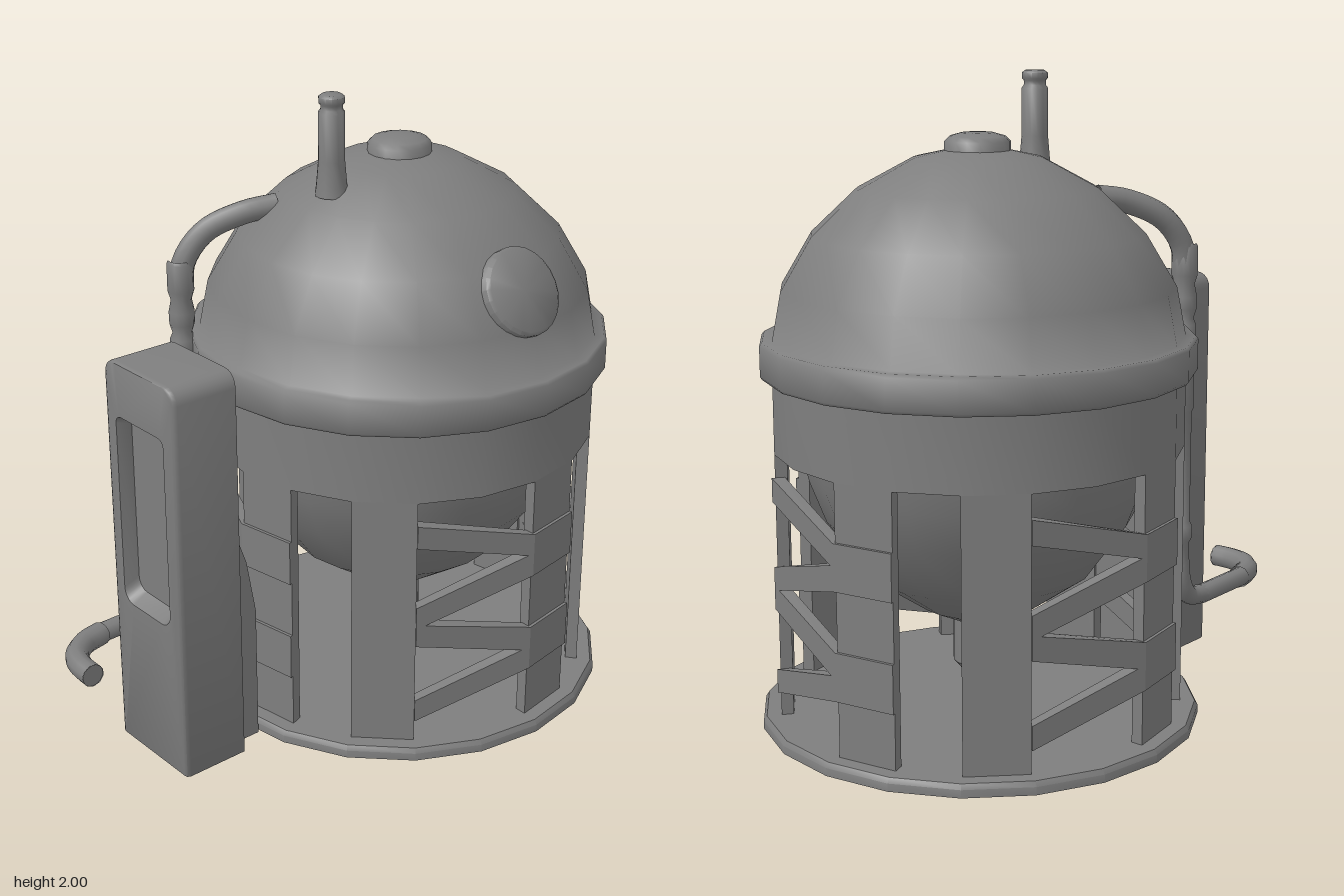
import * as THREE from 'three';
import { toCreasedNormals } from 'three/addons/utils/BufferGeometryUtils.js';

const material = new THREE.MeshStandardMaterial({ color: 0x7e7e7e });
const doubleSided = new THREE.MeshStandardMaterial({ color: 0x7e7e7e, side: THREE.DoubleSide });
const STEP = Math.PI / 10; // one side of the 20-sided tank

function part(parent, name, geometry, mat = material) {
  const mesh = new THREE.Mesh(geometry, mat);
  mesh.name = name;
  parent.add(mesh);
  return mesh;
}

// Turned shape; profile is [radius, y] pairs from bottom to top
function turned(profile, sides = 20, crease = 0.6) {
  const points = profile.map(([r, y]) => new THREE.Vector2(r, y));
  return toCreasedNormals(new THREE.LatheGeometry(points, sides), crease);
}

// Skin over matching rings of [x, y, z] points, with both ends closed
function loft(rings, crease) {
  const n = rings[0].length, positions = rings.flat(2), index = [];
  for (let i = 0; i < rings.length - 1; i++)
    for (let k = 0; k < n; k++) {
      const a = i * n + k, b = i * n + (k + 1) % n;
      index.push(a, b, b + n, a, b + n, a + n);
    }
  const last = (rings.length - 1) * n;
  for (let k = 1; k < n - 1; k++) index.push(0, k + 1, k, last, last + k, last + k + 1);
  const geometry = new THREE.BufferGeometry();
  geometry.setAttribute('position', new THREE.Float32BufferAttribute(positions, 3));
  geometry.setIndex(index);
  return toCreasedNormals(geometry, crease);
}

// Strip of wall between two side numbers; its [low, high] edges run from start to end
function wallStrip(from, to, start, end, steps = to - from, outer = 0.634, thickness = 0.038) {
  const rings = [];
  for (let i = 0; i <= steps; i++) {
    const t = i / steps, a = THREE.MathUtils.lerp(from, to, t) * STEP;
    const low = THREE.MathUtils.lerp(start[0], end[0], t);
    const high = THREE.MathUtils.lerp(start[1], end[1], t);
    const inner = outer - thickness;
    rings.push([[outer, low], [inner, low], [inner, high], [outer, high]]
      .map(([r, y]) => [r * Math.sin(a), y, r * Math.cos(a)]));
  }
  return loft(rings, 0.6);
}

// Anticlockwise rounded rectangle at depth z
function roundedRing(x0, y0, x1, y1, rLow, rHigh, z) {
  const corners = [[x1 - rLow, y0 + rLow, rLow, -1], [x1 - rHigh, y1 - rHigh, rHigh, 0],
    [x0 + rHigh, y1 - rHigh, rHigh, 1], [x0 + rLow, y0 + rLow, rLow, 2]];
  const ring = [];
  for (const [cx, cy, r, quarter] of corners)
    for (let i = 0; i <= 5; i++) {
      const a = (quarter + i / 5) * Math.PI / 2;
      ring.push([cx + r * Math.cos(a), cy + r * Math.sin(a), z]);
    }
  return ring;
}

function buildTank(model) {
  const tank = new THREE.Group();
  tank.name = 'tank';
  tank.position.z = -0.24;
  model.add(tank);

  part(tank, 'basePlate', turned([[0, 0], [0.69, 0], [0.69, 0.025], [0.68, 0.04], [0, 0.04]]));

  // Dome with its rim ring in one smooth skin
  part(tank, 'dome', turned([[0.6, 1.102], [0.662, 1.102], [0.67, 1.112], [0.67, 1.205], [0.662, 1.215],
    [0.632, 1.216], [0.603, 1.365], [0.508, 1.525], [0.365, 1.66], [0.195, 1.752], [0.09, 1.775], [0, 1.78]],
  20, 1.7));
  part(tank, 'domeCap', turned([[0.1, 1.74], [0.1, 1.8], [0.085, 1.815], [0.05, 1.825], [0, 1.828]], 16, 0.9));

  // Hopper hanging inside, ending in a spout
  part(tank, 'hopper', turned([[0, 0.14], [0.06, 0.14], [0.085, 0.17], [0.085, 0.31], [0.19, 0.36], [0.35, 0.47],
    [0.48, 0.65], [0.53, 0.78], [0.555, 0.88], [0.59, 1.11]]), doubleSided);

  // Upper wall, then four repeats of leg, open window, leg and bracing
  part(tank, 'skirt', wallStrip(0, 20, [0.872, 1.115], [0.872, 1.115]));
  const bracing = [
    [[0.725, 0.8], [0.62, 0.695]],
    [[0.445, 0.52], [0.55, 0.63]],
    [[0.385, 0.46], [0.28, 0.365]],
    [[0.115, 0.19], [0.215, 0.295]],
  ];
  for (let q = 0; q < 4; q++) {
    const side = q * 5;
    for (const leg of [side, side + 2])
      part(tank, 'leg', wallStrip(leg, leg + 1, [0.035, 0.873], [0.035, 0.873]));
    for (const collar of [[0.55, 0.695], [0.215, 0.365]])
      part(tank, 'legCollar', wallStrip(side, side + 1, collar, collar, 1, 0.644, 0.03));
    for (const [start, end] of bracing)
      part(tank, 'brace', wallStrip(side + 3, side + 5, start, end, 1, 0.644, 0.04));
  }

  // Round hatch leaning with the dome's left side
  const hatch = part(tank, 'hatch', turned([[0.138, -0.1], [0.138, -0.008], [0.128, 0], [0, 0]], 24, 0.9));
  hatch.position.set(0.556, 1.472, 0);
  hatch.rotation.z = -THREE.MathUtils.degToRad(59);
}

function buildChimney(model) {
  const chimney = part(model, 'chimney', turned([[0.052, 1.69], [0.048, 1.72], [0.041, 1.8], [0.041, 1.945],
    [0.034, 1.955], [0.034, 1.968], [0.04, 1.975], [0.04, 1.992], [0.03, 2], [0, 2]], 14, 0.9));
  chimney.position.set(0.005, 0, 0.038);
}

function buildCabinet(model) {
  const cabinet = new THREE.Group();
  cabinet.name = 'cabinet';
  model.add(cabinet);

  // Upright box with softened front edges and a sunken front panel that slopes out at its foot
  part(cabinet, 'cabinetBody', loft([
    roundedRing(-0.176, 0, 0.172, 1.302, 0.002, 0.05, 0.543),
    roundedRing(-0.176, 0, 0.172, 1.302, 0.002, 0.05, 0.75),
    roundedRing(-0.172, 0.001, 0.168, 1.301, 0.002, 0.048, 0.762),
    roundedRing(-0.162, 0.003, 0.158, 1.298, 0.002, 0.045, 0.766),
    roundedRing(-0.123, 0.505, 0.115, 1.13, 0.045, 0.025, 0.766),
    roundedRing(-0.113, 0.535, 0.107, 1.112, 0.04, 0.02, 0.718),
  ], 0.9));

  // Wedge on the back; its profile is drawn in z and y, then turned sideways
  const profile = [[0.55, 0], [0.443, 0], [0.443, 0.45], [0.475, 0.63], [0.55, 0.84]];
  const wedge = part(cabinet, 'backWedge', new THREE.ExtrudeGeometry(
    new THREE.Shape(profile.map(([z, y]) => new THREE.Vector2(-z, y))), { depth: 0.235, bevelEnabled: false }));
  wedge.rotation.y = Math.PI / 2;
  wedge.position.x = -0.12;
}

function buildPipe(model) {
  const pipe = new THREE.Group();
  pipe.name = 'pipe';
  model.add(pipe);
  const v = (x, y, z) => new THREE.Vector3(x, y, z);
  const tube = (name, points, r, segments) => part(pipe, name,
    new THREE.TubeGeometry(new THREE.CatmullRomCurve3(points), segments, r, 10), doubleSided);

  tube('upperBend', [v(-0.2, 1.618, 0.085), v(-0.25, 1.6, 0.18), v(-0.315, 1.545, 0.28),
    v(-0.345, 1.455, 0.342), v(-0.348, 1.36, 0.356)], 0.038, 16);
  tube('lowerBend', [v(-0.348, 0.42, 0.356), v(-0.348, 0.34, 0.37), v(-0.348, 0.285, 0.41),
    v(-0.348, 0.267, 0.49)], 0.032, 10);
  tube('lowerRun', [v(-0.348, 0.267, 0.48), v(-0.345, 0.267, 0.74)], 0.032, 2);
  tube('outletBend', [v(-0.345, 0.267, 0.72), v(-0.325, 0.267, 0.8), v(-0.275, 0.267, 0.86),
    v(-0.215, 0.267, 0.882), v(-0.145, 0.267, 0.885)], 0.038, 14);
  const end = part(pipe, 'outletCap', new THREE.CircleGeometry(0.038, 10), doubleSided);
  end.position.set(-0.147, 0.267, 0.885);
  end.rotation.y = Math.PI / 2;

  // Vertical run with its swollen joints
  const run = part(pipe, 'verticalRun', turned([[0.031, 0.4], [0.031, 0.48], [0.039, 0.495], [0.039, 0.535],
    [0.031, 0.55], [0.031, 0.915], [0.036, 0.925], [0.036, 1.13], [0.04, 1.15], [0.04, 1.2], [0.031, 1.22],
    [0.04, 1.25], [0.041, 1.29], [0.033, 1.33], [0.042, 1.36], [0.042, 1.45], [0.036, 1.46]], 12, 0.9));
  run.position.set(-0.348, 0, 0.356);
}

export function createModel() {
  const model = new THREE.Group();
  model.name = 'domedTank';
  buildTank(model);
  buildChimney(model);
  buildCabinet(model);
  buildPipe(model);
  return model;
}
